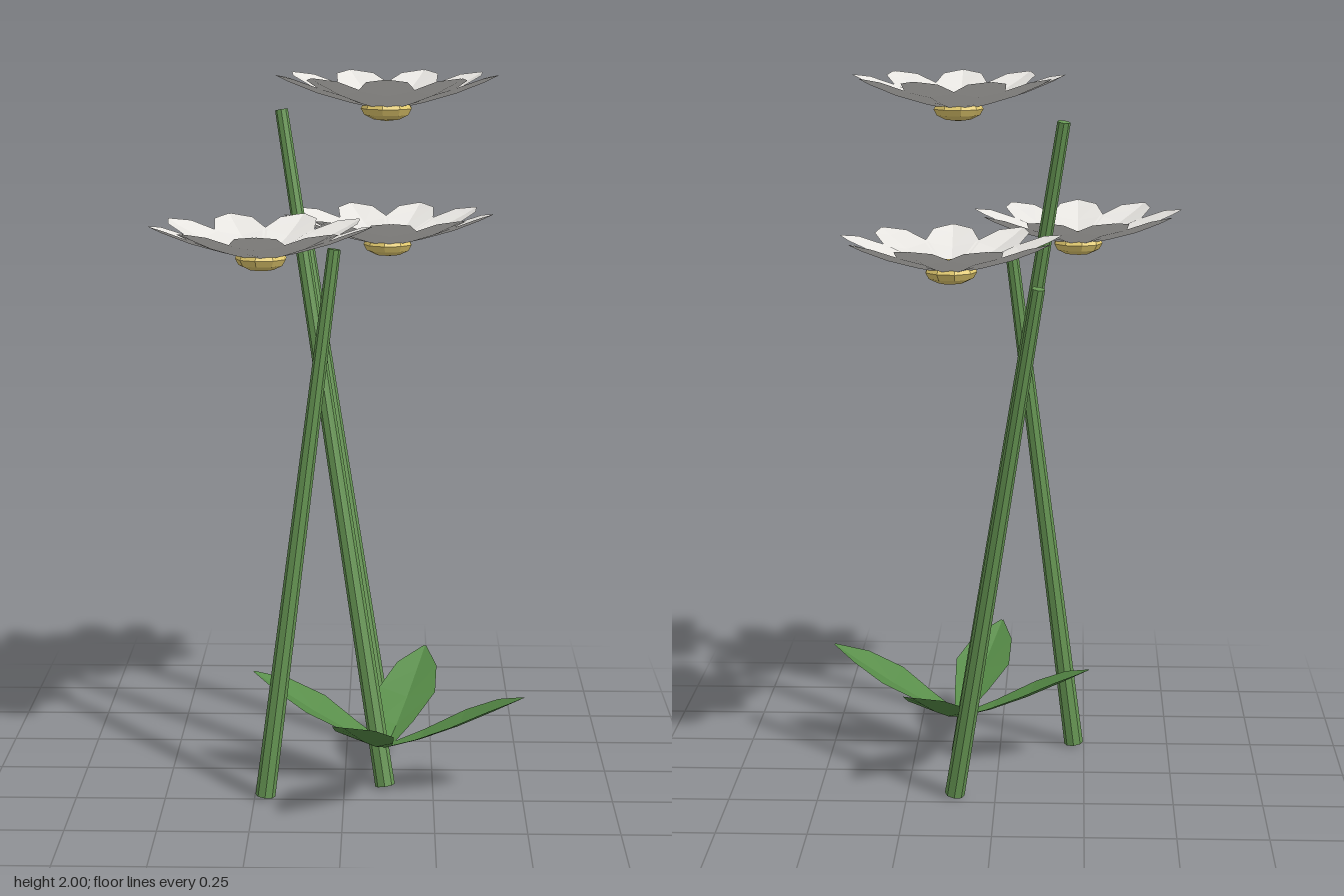
import * as THREE from 'three';

const mat = (name, color, opts = {}) => {
  const m = new THREE.MeshStandardMaterial({ color, flatShading: true, ...opts });
  m.name = name;
  return m;
};

// Folded blade along +z. Each section: [distance, halfWidth, midHeight, edgeHeight]
function bladeGeometry(sections) {
  const pos = [], index = [];
  for (const [d, w, mid, edge] of sections) pos.push(-w, edge, d, 0, mid, d, w, edge, d);
  for (let i = 0; i < sections.length - 1; i++) {
    for (let j = 0; j < 2; j++) {
      const a = i * 3 + j, b = a + 1, c = a + 3, e = a + 4;
      index.push(a, c, b, b, c, e);
    }
  }
  const g = new THREE.BufferGeometry();
  g.setAttribute('position', new THREE.Float32BufferAttribute(pos, 3));
  g.setIndex(index);
  g.computeVertexNormals();
  return g;
}

export function createModel() {
  const root = new THREE.Group();
  root.name = 'daisyPlant';

  const white = mat('petalWhite', 0xe6e4e0, { side: THREE.DoubleSide });
  const yellow = mat('centreYellow', 0xe6cd70);
  const stemGreen = mat('stemGreen', 0x669653);
  const leafGreen = mat('leafGreen', 0x578c48, { side: THREE.DoubleSide });

  const add = (parent, name, geo, material) => {
    const m = new THREE.Mesh(geo, material);
    m.name = name;
    parent.add(m);
    return m;
  };

  // Flower heads: nine cupped petals around a flattened centre
  const petalGeo = bladeGeometry([
    [0.03, 0.014, 0.0, 0.002],
    [0.1, 0.042, 0.016, 0.024],
    [0.19, 0.076, 0.042, 0.056],
    [0.265, 0.054, 0.072, 0.083],
    [0.302, 0.004, 0.09, 0.091],
  ]);
  const centreGeo = new THREE.SphereGeometry(0.071, 9, 6).scale(1, 0.48, 1);
  const heads = [
    ['tallFlower', 0.113, 1.908, 0.085, 0],
    ['backFlower', 0.117, 1.5, -0.247, 0.03],
    ['frontFlower', -0.222, 1.517, 0.224, 0],
  ];
  for (const [name, x, y, z, turn] of heads) {
    const head = new THREE.Group();
    head.name = name;
    head.position.set(x, y, z);
    head.rotation.y = turn;
    for (let i = 0; i < 9; i++) {
      add(head, 'petal', petalGeo, white).rotation.y = (i * Math.PI * 2) / 9;
    }
    add(head, 'flowerCentre', centreGeo, yellow);
    root.add(head);
  }

  // Leaning, tapered stems
  const up = new THREE.Vector3(0, 1, 0);
  const stems = [
    ['tallStem', [0.115, 0.005, 0.145], [-0.183, 1.89, -0.14]],
    ['backStem', [0.115, 0.005, -0.2], [-0.12, 1.48, -0.415]],
    ['frontStem', [-0.22, 0.005, 0.235], [-0.027, 1.54, 0.205]],
  ];
  for (const [name, from, to] of stems) {
    const a = new THREE.Vector3(...from), b = new THREE.Vector3(...to);
    const dir = b.clone().sub(a);
    const stem = add(root, name, new THREE.CylinderGeometry(0.018, 0.028, dir.length(), 8), stemGreen);
    stem.position.copy(a).add(b).multiplyScalar(0.5);
    stem.quaternion.setFromUnitVectors(up, dir.normalize());
  }

  // Rosette of four leaves at the foot of the tall stem
  const leafGeo = bladeGeometry([
    [0.0, 0.014, 0.0, 0.006],
    [0.1, 0.05, 0.035, 0.05],
    [0.21, 0.084, 0.085, 0.108],
    [0.31, 0.06, 0.138, 0.156],
    [0.397, 0.004, 0.186, 0.187],
  ]);
  const rosette = new THREE.Group();
  rosette.name = 'leafRosette';
  rosette.position.set(0.118, 0.115, 0.14);
  rosette.rotation.y = -0.29;
  for (let i = 0; i < 4; i++) {
    add(rosette, 'leaf', leafGeo, leafGreen).rotation.y = (i * Math.PI) / 2;
  }
  root.add(rosette);

  return root;
}
